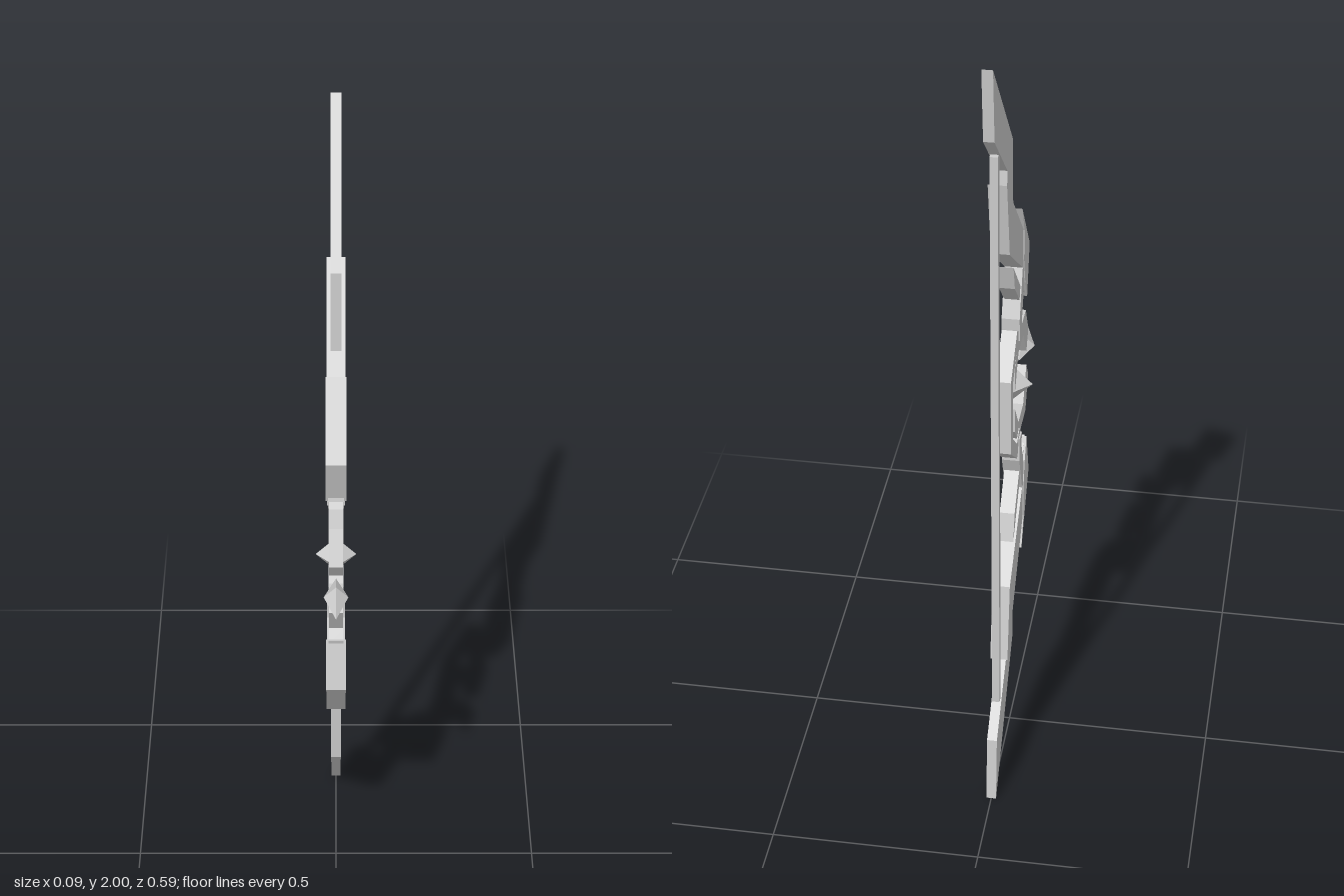
import * as THREE from 'three';

const steel = new THREE.MeshStandardMaterial({ color: 0xcccccc });
steel.name = 'pale grey';

// Flat plate from a [z, y] outline, centred on x = 0
function plate(name, points, halfWidth) {
  const shape = new THREE.Shape(points.map(([z, y]) => new THREE.Vector2(z, y)));
  const geometry = new THREE.ExtrudeGeometry(shape, { depth: halfWidth * 2, bevelEnabled: false });
  geometry.translate(0, 0, -halfWidth).rotateY(-Math.PI / 2);
  const mesh = new THREE.Mesh(geometry, steel);
  mesh.name = name;
  return mesh;
}

// Four-sided crystal along y from a short [radius, height] profile
function crystal(name, profile) {
  const points = profile.map(([r, h]) => new THREE.Vector2(r, h));
  const geometry = new THREE.LatheGeometry(points, 4).toNonIndexed();
  geometry.computeVertexNormals();
  const mesh = new THREE.Mesh(geometry, steel);
  mesh.name = name;
  return mesh;
}

const flip = (points) => points.map(([z, y]) => [z, 2 - y]);

// Outlines of the upper half
const parts = [
  ['LimbTip', 0.012, [[-0.296, 2], [-0.28, 1.825], [-0.106, 1.66], [-0.115, 1.6], [-0.022, 1.5], [-0.032, 1.7]]],
  ['MainLimb', 0.021, [[-0.17, 1.66], [-0.132, 1.465], [0.063, 1.312], [0.017, 1.2], [0.02, 1.14],
    [0.055, 1.14], [0.055, 1.185], [0.105, 1.3], [0.08, 1.4]]],
  ['ElbowFin', 0.023, [[0.157, 1.323], [0.042, 1.48], [0.075, 1.405], [0.07, 1.33], [0.09, 1.255], [0.12, 1.2]]],
  ['InnerBarb', 0.018, [[-0.058, 1.386], [-0.037, 1.317], [0.07, 1.206], [0.094, 1.235], [0.125, 1.2],
    [0.115, 1.245], [0.05, 1.27]]],
  ['GripClaw', 0.016, [[0.19, 1.065], [0.148, 1.143], [0.075, 1.143], [0.045, 1.16], [0.02, 1.14], [-0.02, 1.09],
    [-0.02, 1.025], [0.035, 1.1], [0.11, 1.1], [0.16, 1.02]]],
];

export function createModel() {
  const bow = new THREE.Group();
  bow.name = 'bow';

  // Mirrored limbs, fins and claws
  for (const [name, halfWidth, points] of parts) {
    bow.add(plate('upper' + name, points, halfWidth));
    bow.add(plate('lower' + name, flip(points), halfWidth));
  }

  // Grip: open bracket behind the gem
  const outer = [[0.05, 1.15], [0, 1.18], [-0.095, 1.1]];
  const inner = [[-0.063, 1.08], [0, 1.137], [0.04, 1.12]];
  bow.add(plate('grip', [
    ...outer, ...flip(outer).reverse(), ...flip(inner).reverse(), ...inner,
  ], 0.018));

  // Bow string
  const string = new THREE.Mesh(new THREE.BoxGeometry(0.018, 1.51, 0.018), steel);
  string.name = 'string';
  string.position.set(0, 1, -0.209);
  bow.add(string);

  // Floating gem in the grip
  const gem = crystal('gem', [[0, -0.047], [0.047, 0], [0, 0.047]]);
  gem.position.set(0, 1, 0.053);
  bow.add(gem);

  // Floating arrow point in front
  const point = crystal('arrowPoint', [[0, -0.07], [0.028, 0], [0, 0.081]]);
  point.rotation.x = Math.PI / 2;
  point.position.set(0, 1, 0.215);
  bow.add(point);

  return bow;
}
